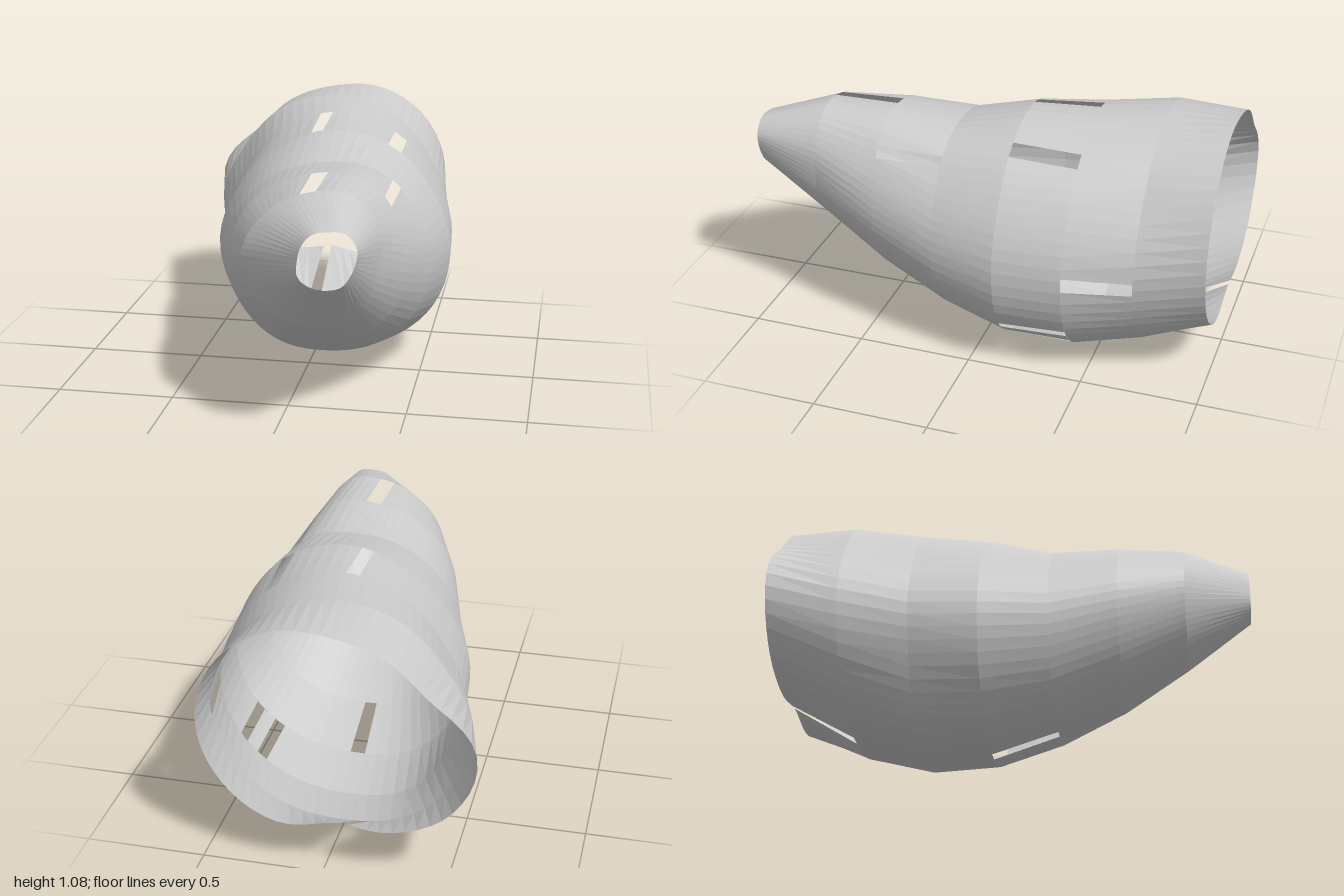
import * as THREE from 'three';

// Cross-sections from front to back: centre and radius at every 30 degrees
const rings = [
  { z: 1, c: [0.25, 0.8], r: [0.107, 0.127, 0.132, 0.118, 0.12, 0.115, 0.115, 0.13, 0.12, 0.11, 0.108, 0.1] },
  { z: 0.714, c: [0.13, 0.72], r: [0.28, 0.305, 0.31, 0.27, 0.25, 0.255, 0.275, 0.28, 0.28, 0.28, 0.28, 0.28] },
  { z: 0.43, c: [0.11, 0.63], r: [0.38, 0.385, 0.40, 0.365, 0.35, 0.36, 0.375, 0.375, 0.375, 0.37, 0.38, 0.38] },
  { z: 0.143, c: [0.105, 0.55], r: [0.45, 0.445, 0.45, 0.42, 0.42, 0.43, 0.45, 0.45, 0.45, 0.43, 0.44, 0.45] },
  { z: -0.143, c: [0.085, 0.53], r: [0.525, 0.51, 0.518, 0.515, 0.492, 0.49, 0.52, 0.525, 0.53, 0.503, 0.512, 0.53] },
  { z: -0.43, c: [0.06, 0.53], r: [0.53, 0.51, 0.518, 0.53, 0.52, 0.50, 0.53, 0.525, 0.552, 0.53, 0.53, 0.535] },
  { z: -0.714, c: [0, 0.57], r: [0.54, 0.505, 0.508, 0.508, 0.51, 0.505, 0.55, 0.545, 0.53, 0.507, 0.52, 0.53] },
  { z: -1, c: [-0.055, 0.63], r: [0.557, 0.545, 0.5, 0.437, 0.42, 0.43, 0.555, 0.54, 0.46, 0.385, 0.48, 0.53] },
];

// Slots: band between two rings, then the two long edges as x, y
const slots = [
  { band: 1, from: [0.155, 0.99], to: [0.09, 0.98] },
  { band: 2, from: [0.425, 0.875], to: [0.385, 0.905] },
  { band: 3, from: [0.035, 0.07], to: [0.095, 0.07] },
  { band: 4, from: [0.035, 1.05], to: [-0.02, 1.05] },
  { band: 4, from: [0.38, 0.945], to: [0.325, 0.985] },
  { band: 4, from: [0.48, 0.205], to: [0.51, 0.24] },
  { band: 4, from: [0.40, 0.12], to: [0.44, 0.155] },
  { band: 5, from: [0.565, 0.485], to: [0.565, 0.545] },
  { band: 6, from: [-0.125, 0.08], to: [-0.07, 0.08] },
];

const SIDES = 60;

// Smooth periodic radius at an angle
function radiusAt(r, angle) {
  const n = r.length;
  const u = ((angle / (2 * Math.PI)) * n + 2 * n) % n;
  const i = Math.floor(u), t = u - i;
  const [a, b, c, d] = [-1, 0, 1, 2].map((k) => r[(i + k + n) % n]);
  return b + 0.5 * t * (c - a + t * (2 * a - 5 * b + 4 * c - d + t * (3 * (b - c) + d - a)));
}

function ringPoint(ring, angle) {
  const r = radiusAt(ring.r, angle);
  return [ring.c[0] + r * Math.cos(angle), ring.c[1] + r * Math.sin(angle), ring.z];
}

const angleOf = (ring, [x, y]) => Math.atan2(y - ring.c[1], x - ring.c[0]);

// One band of the shell, left open at its slots
function bandGeometry(index) {
  const front = rings[index], back = rings[index + 1];
  const pair = (p) => [angleOf(front, p), angleOf(back, p)];
  const gaps = slots.filter((s) => s.band === index).map((s) => [pair(s.from), pair(s.to)]);
  const inGap = (e) => gaps.some(([lo, hi]) =>
    [0, 1].some((k) => e[k] > lo[k] - 0.01 && e[k] < hi[k] + 0.01));

  const edges = [];
  for (let i = 0; i <= SIDES; i++) {
    const a = -Math.PI + (2 * Math.PI * i) / SIDES;
    if (!inGap([a, a])) edges.push([a, a]);
  }
  gaps.forEach((g) => edges.push(...g));
  edges.sort((a, b) => a[0] - b[0]);

  const positions = [];
  for (let i = 0; i < edges.length - 1; i++) {
    const e = edges[i], f = edges[i + 1];
    if (gaps.some(([lo]) => lo === e)) continue;
    const f0 = ringPoint(front, e[0]), f1 = ringPoint(front, f[0]);
    const b0 = ringPoint(back, e[1]), b1 = ringPoint(back, f[1]);
    positions.push(...f0, ...b0, ...f1, ...f1, ...b0, ...b1);
  }
  const geometry = new THREE.BufferGeometry();
  geometry.setAttribute('position', new THREE.Float32BufferAttribute(positions, 3));
  geometry.computeVertexNormals();
  return geometry;
}

export function createModel() {
  const group = new THREE.Group();
  group.name = 'slottedShell';
  const material = new THREE.MeshStandardMaterial({
    color: 0xcccccc, flatShading: true, side: THREE.DoubleSide,
  });
  for (let i = 0; i < rings.length - 1; i++) {
    const band = new THREE.Mesh(bandGeometry(i), material);
    band.name = i === 0 ? 'noseBand' : i === rings.length - 2 ? 'rearBand' : `shellBand${i}`;
    group.add(band);
  }
  return group;
}
